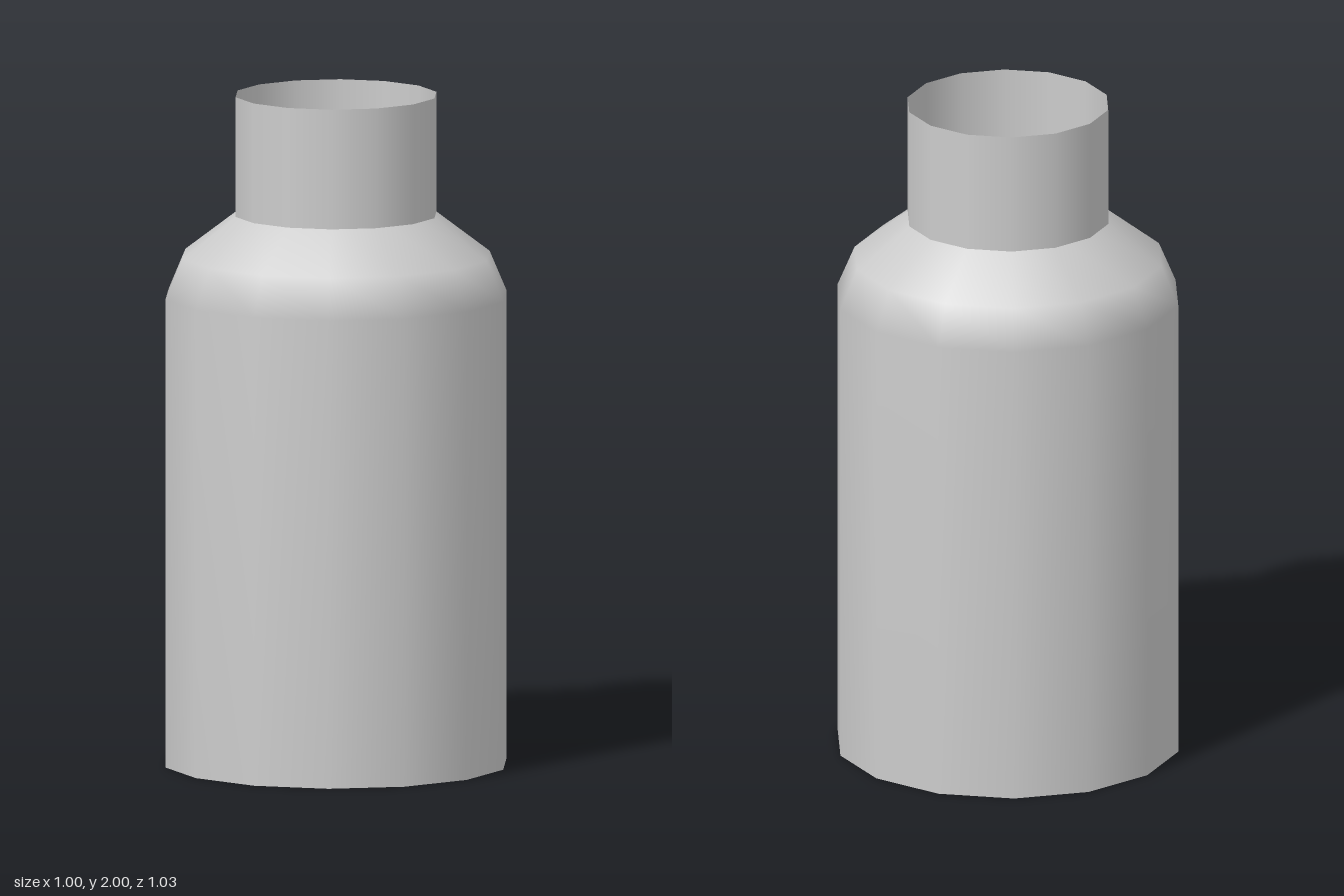
import * as THREE from 'three';

const SIDES = 14;
const grey = new THREE.MeshStandardMaterial({ color: 0xcccccc });
const greyThin = new THREE.MeshStandardMaterial({ color: 0xcccccc, side: THREE.DoubleSide });

// Smooth surface of revolution from [radius, height] points, bottom to top
function turned(name, profile, material) {
  const points = profile.map(([r, y]) => new THREE.Vector2(r, y));
  const mesh = new THREE.Mesh(new THREE.LatheGeometry(points, SIDES), material);
  mesh.name = name;
  return mesh;
}

// Flat disc with corners lined up with the turned parts
function disc(name, radius, y, facing) {
  const geometry = new THREE.CircleGeometry(radius, SIDES, Math.PI / 2);
  geometry.rotateX(-facing * Math.PI / 2);
  const mesh = new THREE.Mesh(geometry, grey);
  mesh.name = name;
  mesh.position.y = y;
  return mesh;
}

export function createModel() {
  const bottle = new THREE.Group();
  bottle.name = 'bottle';
  bottle.add(
    // Straight body and sloping shoulder, running on inside the neck
    turned('body', [[0.513, 0], [0.513, 1.4], [0.462, 1.52], [0.252, 1.68]], grey),
    disc('base', 0.513, 0, -1),
    disc('bodyTop', 0.252, 1.68, 1),
    // Thin open collar
    turned('neck', [[0.302, 1.64], [0.302, 2]], greyThin),
  );
  return bottle;
}
